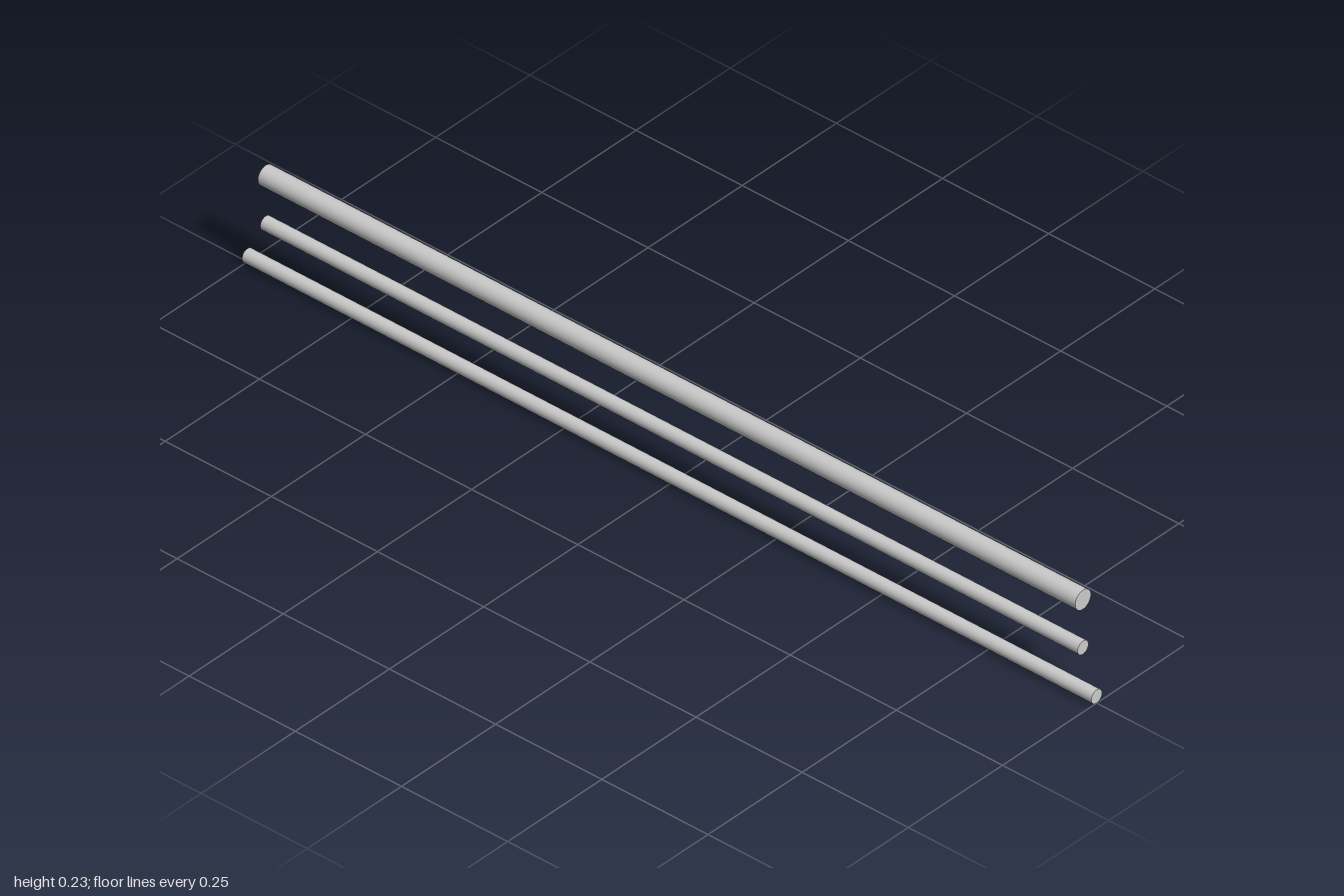
import * as THREE from 'three';

export function createModel() {
  const model = new THREE.Group();
  const material = new THREE.MeshStandardMaterial({ color: 0xcccccc });

  // A capped round rod lying along x
  function addRod(name, radius, y, x0, x1) {
    const geometry = new THREE.CylinderGeometry(radius, radius, x1 - x0, 32);
    geometry.rotateZ(Math.PI / 2);
    const rod = new THREE.Mesh(geometry, material);
    rod.name = name;
    rod.position.set((x0 + x1) / 2, y, 0);
    model.add(rod);
  }

  // Three parallel rods, one above another
  addRod('lowerRod', 0.0144, 0.0144, -1, 1);
  addRod('middleRod', 0.0144, 0.1055, -0.957, 0.968);
  addRod('upperRod', 0.0208, 0.2095, -0.957, 0.968);

  return model;
}
